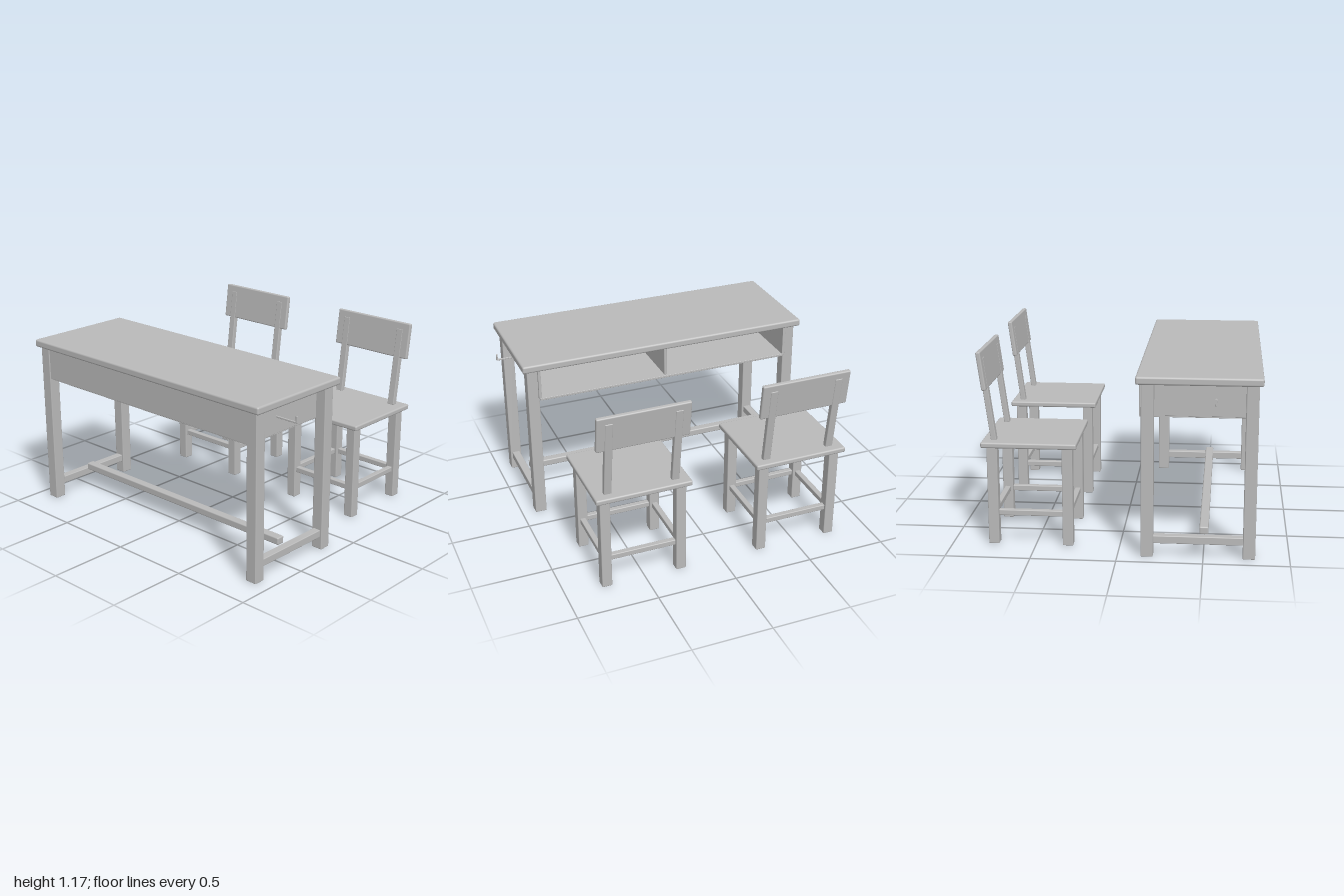
import * as THREE from 'three';
import { RoundedBoxGeometry } from 'three/addons/geometries/RoundedBoxGeometry.js';

const grey = new THREE.MeshStandardMaterial({ color: 0xbababa });
grey.name = 'plain grey';

// Softly rounded bar given by its extents on each axis
function bar(parent, name, [x0, x1], [y0, y1], [z0, z1], radius = 0.005) {
  const geometry = new RoundedBoxGeometry(x1 - x0, y1 - y0, z1 - z0, 2, radius);
  const mesh = new THREE.Mesh(geometry, grey);
  mesh.name = name;
  mesh.position.set((x0 + x1) / 2, (y0 + y1) / 2, (z0 + z1) / 2);
  parent.add(mesh);
  return mesh;
}

// Range of a given width around a centre
const around = (centre, width) => [centre - width / 2, centre + width / 2];

function createDesk() {
  const desk = new THREE.Group();
  desk.name = 'desk';
  bar(desk, 'deskTop', [-0.945, 0.945], [1.03, 1.077], [0.105, 0.825], 0.012);

  // Open compartment facing the chairs
  bar(desk, 'frontPanel', [-0.845, 0.845], [0.832, 1.03], [0.775, 0.795], 0.002);
  bar(desk, 'shelf', [-0.84, 0.84], [0.822, 0.837], [0.12, 0.785], 0.002);
  bar(desk, 'divider', around(0, 0.018), [0.837, 1.03], [0.135, 0.775], 0.002);

  for (const s of [-1, 1]) {
    for (const z of [0.172, 0.765]) {
      bar(desk, 'deskLeg', around(s * 0.878, 0.073), [0, 1.03], around(z, 0.072));
    }
    bar(desk, 'sidePanel', around(s * 0.839, 0.018), [0.832, 1.03], [0.122, 0.785], 0.002);
    bar(desk, 'sideStretcher', around(s * 0.878, 0.05), [0.08, 0.127], [0.206, 0.731]);

    // Bag hook
    bar(desk, 'hookArm', around(s * 0.92, 0.16), [0.928, 0.938], around(0.56, 0.01), 0.002);
    bar(desk, 'hookTip', around(s * 0.995, 0.01), [0.928, 0.972], around(0.56, 0.01), 0.002);
  }
  bar(desk, 'footRail', [-0.845, 0.845], [0.122, 0.168], [0.475, 0.528], 0.008);
  return desk;
}

function createChair() {
  const chair = new THREE.Group();
  chair.name = 'chair';
  bar(chair, 'seat', [-0.298, 0.298], [0.6, 0.634], [-0.815, -0.25], 0.01);

  const legX = 0.237, legZ = [-0.308, -0.753];
  for (const s of [-1, 1]) {
    for (const z of legZ) {
      bar(chair, 'chairLeg', around(s * legX, 0.063), [0, 0.6], around(z, 0.063));
    }
    bar(chair, 'sideStretcher', around(s * legX, 0.035), [0.175, 0.21], [-0.723, -0.338]);
  }
  for (const z of legZ) {
    bar(chair, 'crossStretcher', [-0.207, 0.207], [0.175, 0.21], around(z, 0.035));
  }

  // Leaning back: two posts carrying a board
  const back = new THREE.Group();
  back.name = 'backrest';
  back.position.set(0, 0.63, -0.745);
  back.rotation.x = -0.131;
  for (const s of [-1, 1]) {
    bar(back, 'backPost', around(s * 0.21, 0.047), [0, 0.5], around(-0.001, 0.033));
  }
  bar(back, 'backBoard', [-0.284, 0.284], [0.314, 0.543], around(0, 0.028), 0.008);
  chair.add(back);
  return chair;
}

export function createModel() {
  const model = new THREE.Group();
  model.name = 'schoolDeskWithChairs';
  model.add(createDesk());
  for (const s of [-1, 1]) {
    const chair = createChair();
    chair.position.x = s * 0.505;
    model.add(chair);
  }
  return model;
}
